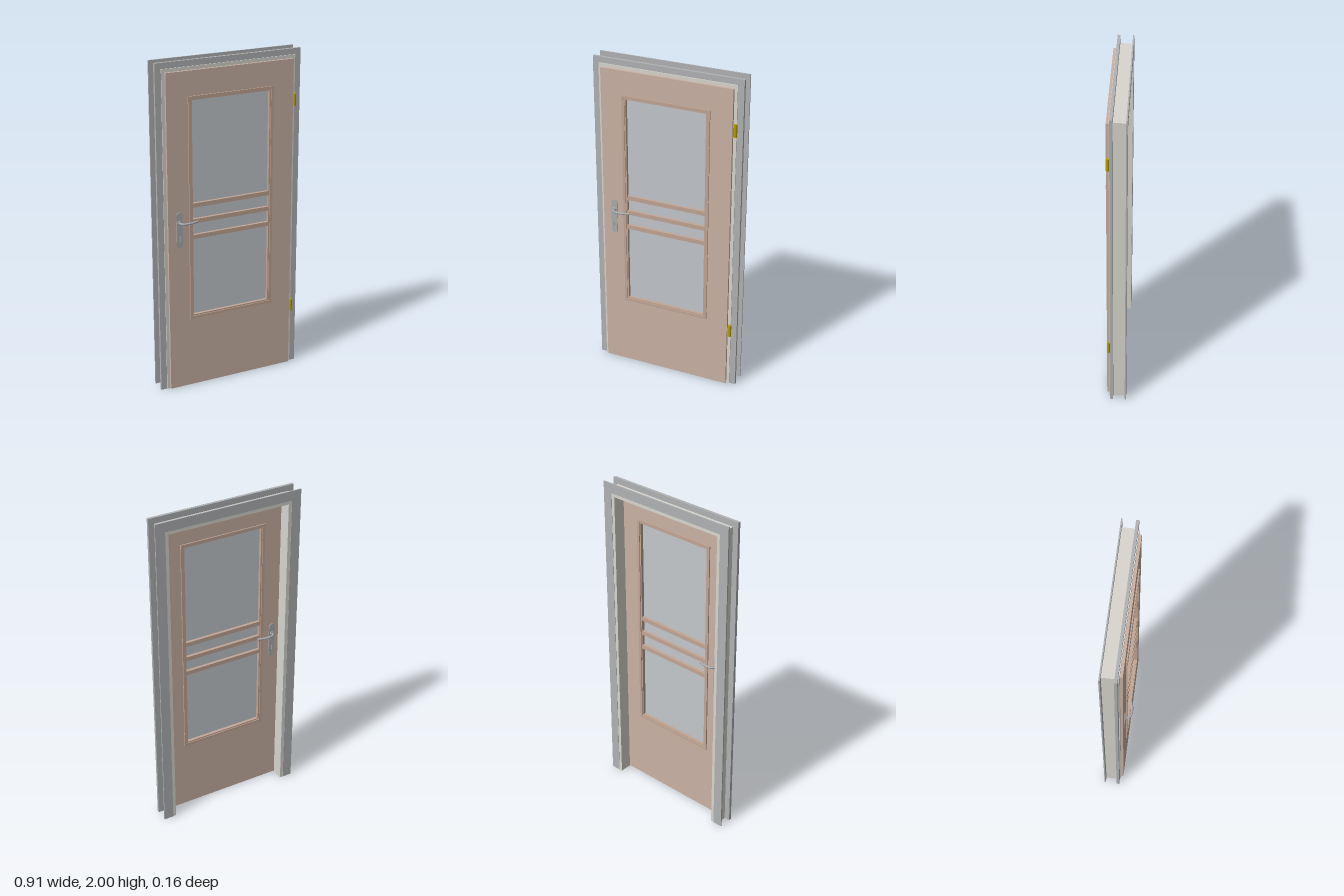
import * as THREE from 'three';

const mat = (color) => new THREE.MeshStandardMaterial({ color });
const casingMat = mat(0xb0b2b4), liningMat = mat(0xd8d6ce), woodMat = mat(0xcab2a4);
const trimMat = mat(0xc2a695), glassMat = mat(0xc3c8cc), steelMat = mat(0xa9adb0), brassMat = mat(0xb5a000);

function add(parent, name, geometry, material, x = 0, y = 0, z = 0) {
  const mesh = new THREE.Mesh(geometry, material);
  mesh.name = name;
  mesh.position.set(x, y, z);
  parent.add(mesh);
  return mesh;
}

const rect = (x0, y0, x1, y1, Type = THREE.Shape) => {
  const s = new Type();
  s.moveTo(x0, y0).lineTo(x1, y0).lineTo(x1, y1).lineTo(x0, y1).closePath();
  return s;
};

// Extrude a shape between two depths
function slab(shape, z0, z1) {
  const g = new THREE.ExtrudeGeometry(shape, { depth: z1 - z0, bevelEnabled: false, curveSegments: 12 });
  return g.translate(0, 0, z0);
}

// Door-frame outline: two legs and a head, open at the floor
function portal(outX, outY, inX, inY, z0, z1) {
  const pts = [[-outX, 0], [-inX, 0], [-inX, inY], [inX, inY], [inX, 0], [outX, 0], [outX, outY], [-outX, outY]];
  return slab(new THREE.Shape(pts.map((p) => new THREE.Vector2(...p))), z0, z1);
}

// Rectangular ring around the window
function ring(hw, y0, y1, width, z0, z1) {
  const s = rect(-hw, y0, hw, y1);
  s.holes.push(rect(-hw + width, y0 + width, hw - width, y1 - width, THREE.Path));
  return slab(s, z0, z1);
}

// Plate, neck and curved lever; side is +1 for front, -1 for back
function makeHandle(side, faceZ) {
  const g = new THREE.Group();
  g.name = side > 0 ? 'frontHandle' : 'backHandle';
  const r = 0.0185, cx = -0.332, low = 0.905 + r, high = 1.125 - r;
  const plate = new THREE.Shape();
  plate.absarc(cx, high, r, 0, Math.PI, false);
  plate.absarc(cx, low, r, Math.PI, Math.PI * 2, false);
  plate.closePath();
  const key = new THREE.Path();
  key.absarc(cx, 0.975, 0.006, -0.9, Math.PI + 0.9, false);
  key.lineTo(cx - 0.003, 0.948).lineTo(cx + 0.003, 0.948).closePath();
  plate.holes.push(key);
  const zs = [faceZ, faceZ + side * 0.005].sort((a, b) => a - b);
  add(g, 'handlePlate', slab(plate, zs[0], zs[1]), steelMat);

  const collar = add(g, 'handleCollar', new THREE.CylinderGeometry(0.012, 0.014, 0.006, 20), steelMat,
    cx, 1.06, faceZ + side * 0.007);
  collar.rotation.x = side * Math.PI / 2;

  const path = [[cx, 0.004], [cx + 0.001, 0.02], [-0.321, 0.032], [-0.3, 0.037], [-0.268, 0.036], [-0.228, 0.025]]
    .map(([x, d]) => new THREE.Vector3(x, 1.06, faceZ + side * d));
  add(g, 'lever', new THREE.TubeGeometry(new THREE.CatmullRomCurve3(path), 32, 0.0065, 12), steelMat);
  const tip = path[path.length - 1];
  add(g, 'leverTip', new THREE.SphereGeometry(0.0065, 12, 8), steelMat, tip.x, tip.y, tip.z);
  return g;
}

export function createModel() {
  const model = new THREE.Group();
  model.name = 'interiorDoor';

  // Fixed frame: lining with a rebate, and casings on both wall faces
  const frame = new THREE.Group();
  frame.name = 'doorFrame';
  model.add(frame);
  add(frame, 'lining', portal(0.423, 1.965, 0.378, 1.922, -0.08, -0.005), liningMat);
  add(frame, 'liningRebate', portal(0.42, 1.965, 0.388, 1.933, -0.005, 0.019), liningMat);
  add(frame, 'frontCasing', portal(0.457, 2, 0.419, 1.964, -0.003, 0.014), casingMat);
  add(frame, 'backCasing', portal(0.457, 2, 0.398, 1.942, -0.082, -0.074), casingMat);

  // Door leaf: core inside the rebate and a wider front lip
  const leaf = new THREE.Group();
  leaf.name = 'doorLeaf';
  model.add(leaf);
  const winX = 0.255, winLow = 0.455, winHigh = 1.785;
  [['leafCore', 0.385, 1.93, -0.005, 0.02], ['leafLip', 0.402, 1.945, 0.02, 0.035]].forEach(([name, hw, top, z0, z1]) => {
    const s = rect(-hw, 0.004, hw, top);
    s.holes.push(rect(-winX, winLow, winX, winHigh, THREE.Path));
    add(leaf, name, slab(s, z0, z1), woodMat);
  });

  // Glazing with stepped mouldings on both faces
  add(leaf, 'glass', new THREE.BoxGeometry(2 * winX, winHigh - winLow, 0.006), glassMat,
    0, (winLow + winHigh) / 2, 0.015);
  add(leaf, 'frontMoulding', ring(0.27, 0.442, 1.8, 0.016, 0.034, 0.042), trimMat);
  add(leaf, 'frontBead', ring(0.256, 0.456, 1.786, 0.01, 0.017, 0.037), trimMat);
  add(leaf, 'backMoulding', ring(0.27, 0.442, 1.8, 0.016, -0.012, -0.004), trimMat);
  add(leaf, 'backBead', ring(0.256, 0.456, 1.786, 0.01, -0.007, 0.013), trimMat);

  // Horizontal glazing bars
  for (const y of [0.958, 1.055, 1.152]) {
    add(leaf, 'glazingBar', new THREE.BoxGeometry(0.494, 0.026, 0.042), trimMat, 0, y, 0.015);
  }

  // Handles and hinges
  leaf.add(makeHandle(1, 0.035), makeHandle(-1, -0.005));
  for (const y of [0.39, 1.7]) {
    add(model, 'hinge', new THREE.CylinderGeometry(0.01, 0.01, 0.076, 20), brassMat, 0.416, y, 0.025);
  }
  return model;
}
